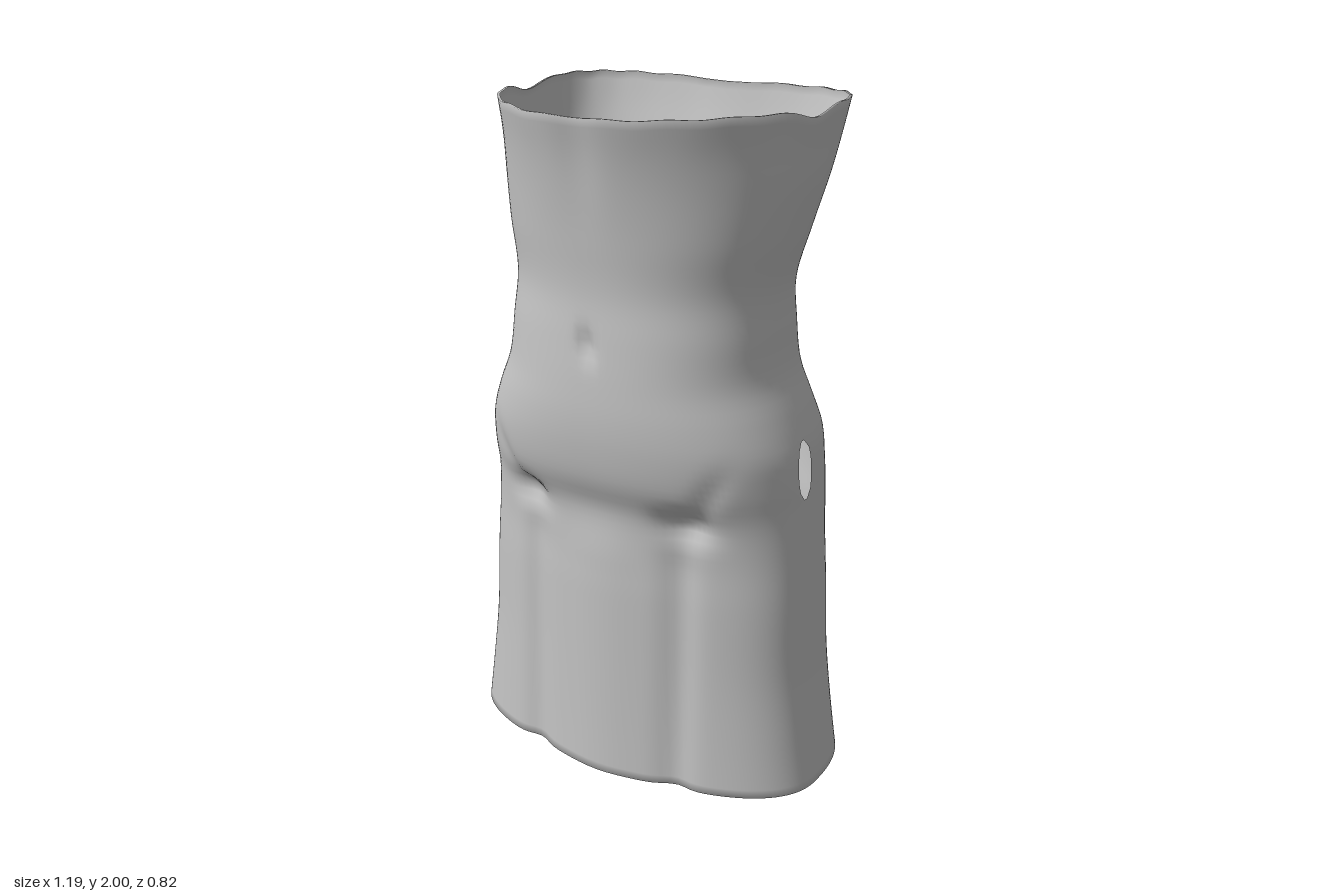
import * as THREE from 'three';

// Cross-section rows: half width, front z, back z, z of the widest point, front and back roundness
const heights = [0, 0.15, 0.35, 0.6, 0.75, 0.86, 0.96, 1.06, 1.15, 1.25, 1.38, 1.5, 1.65, 1.8, 1.9, 2];
const sections = [
  0.595, 0.315, -0.405, 0.03, 2.3, 2.5,
  0.573, 0.31, -0.398, 0.03, 2.3, 2.5,
  0.549, 0.305, -0.388, 0.025, 2.3, 2.5,
  0.537, 0.3, -0.375, 0.02, 2.3, 2.5,
  0.527, 0.297, -0.37, 0.015, 2.3, 2.5,
  0.518, 0.312, -0.39, 0.015, 2.3, 2.5,
  0.512, 0.352, -0.405, 0.015, 2.3, 2.4,
  0.503, 0.37, -0.388, 0.015, 2.3, 2.4,
  0.472, 0.375, -0.355, 0.01, 2.3, 2.4,
  0.432, 0.37, -0.325, 0, 2.3, 2.4,
  0.415, 0.357, -0.314, 0, 2.3, 2.4,
  0.408, 0.346, -0.314, 0, 2.2, 2.4,
  0.437, 0.355, -0.33, -0.03, 2.2, 2.6,
  0.464, 0.375, -0.365, -0.07, 2.1, 2.9,
  0.473, 0.393, -0.39, -0.1, 2.1, 3.2,
  0.485, 0.415, -0.41, -0.12, 2.1, 3.4,
];
const profile = new THREE.CubicInterpolant(heights, sections, 6);
const bump = (v, centre, size) => Math.exp(-(((v - centre) / size) ** 2));
const smooth = THREE.MathUtils.smoothstep;

const HALF = 72;      // steps around each half
const GAP = 0.01;     // narrow strip at each side, where the openings are
const HOLE_Y = 0.9875, HOLE_H = 0.0875, HOLE_Z = 0.03;

function surfacePoint(angle, y, inset) {
  const [w, front, back, zc, nf, nb] = profile.evaluate(y);
  const c = Math.cos(angle), s = Math.sin(angle);
  const isFront = s > 0;
  const n = isFront ? nf : nb;
  const x = (w - inset) * Math.sign(c) * Math.abs(c) ** (2 / n);
  const depth = isFront ? front - zc - inset : back - zc + inset;
  let z = zc + depth * Math.abs(s) ** (2 / n);
  const ax = Math.abs(x);

  if (isFront) {
    const skirt = 1 - smooth(y, 0.7, 0.9);
    let d = skirt * (0.025 * bump(x, 0, 0.15) - 0.022 * bump(ax, 0.25, 0.05));
    // hip creases with the folds running up from them
    d -= 0.045 * bump(ax, 0.27, 0.07) * bump(y, 0.845, 0.045);
    d -= 0.012 * bump(ax, 0.3 + (y - 0.86) * 0.5, 0.035) * bump(y, 0.95, 0.08);
    // navel and chest hollow
    d -= 0.025 * bump(x, 0, 0.021) * bump(y, 1.36, 0.038);
    d -= 0.014 * bump(x, 0, 0.06) * smooth(y, 1.6, 2);
    z += d * Math.min(1, s * 2);
  } else {
    // shallow spine hollow
    z += 0.012 * bump(x, 0, 0.09) * smooth(y, 1.2, 1.8) - 0.004 * smooth(y, 1.2, 1.8);
  }

  // spread the surface around the side openings
  const t = (y - HOLE_Y) / HOLE_H;
  if (Math.abs(t) < 1) {
    z += (isFront ? 1 : -1) * HOLE_Z * Math.sqrt(1 - t * t) * bump(z, 0.015, 0.09);
  }

  // uneven top edge
  const rim = smooth(y, 1.85, 2);
  const dip = 0.025 * bump(z, -0.05, 0.09) + 0.008 * bump(x, 0, 0.3) + 0.004 * Math.sin(angle * 9) ** 2;
  return [x, y - rim * dip, z];
}

function garmentGeometry() {
  const angles = [];
  for (const start of [0, Math.PI]) {
    for (let k = 0; k <= HALF; k++) angles.push(start + GAP + ((Math.PI - 2 * GAP) * k) / HALF);
  }
  const cols = angles.length;

  // rows from hem to rim, with a small turned-in lip at each end
  const rows = [[0, 0.015]];
  for (let i = 0; i <= 80; i++) rows.push([i / 40, 0]);
  rows.push([2, 0.008]);

  const positions = [], index = [];
  for (const [y, inset] of rows) {
    for (const a of angles) positions.push(...surfacePoint(a, y, inset));
  }
  for (let i = 0; i < rows.length - 1; i++) {
    const mid = (rows[i][0] + rows[i + 1][0]) / 2;
    const open = Math.abs(mid - HOLE_Y) < HOLE_H;
    for (let j = 0; j < cols; j++) {
      if (open && j % (HALF + 1) === HALF) continue; // side opening
      const k = (j + 1) % cols;
      const a = i * cols + j, b = i * cols + k;
      index.push(a, a + cols, b + cols, a, b + cols, b);
    }
  }
  const geometry = new THREE.BufferGeometry();
  geometry.setAttribute('position', new THREE.Float32BufferAttribute(positions, 3));
  geometry.setIndex(index);
  geometry.computeVertexNormals();
  return geometry;
}

export function createModel() {
  const grey = new THREE.MeshStandardMaterial({ color: 0xc2c2c2, side: THREE.DoubleSide });
  grey.name = 'plain grey';

  const garment = new THREE.Mesh(garmentGeometry(), grey);
  garment.name = 'fittedDress';

  const group = new THREE.Group();
  group.name = 'dress';
  group.add(garment);
  return group;
}
